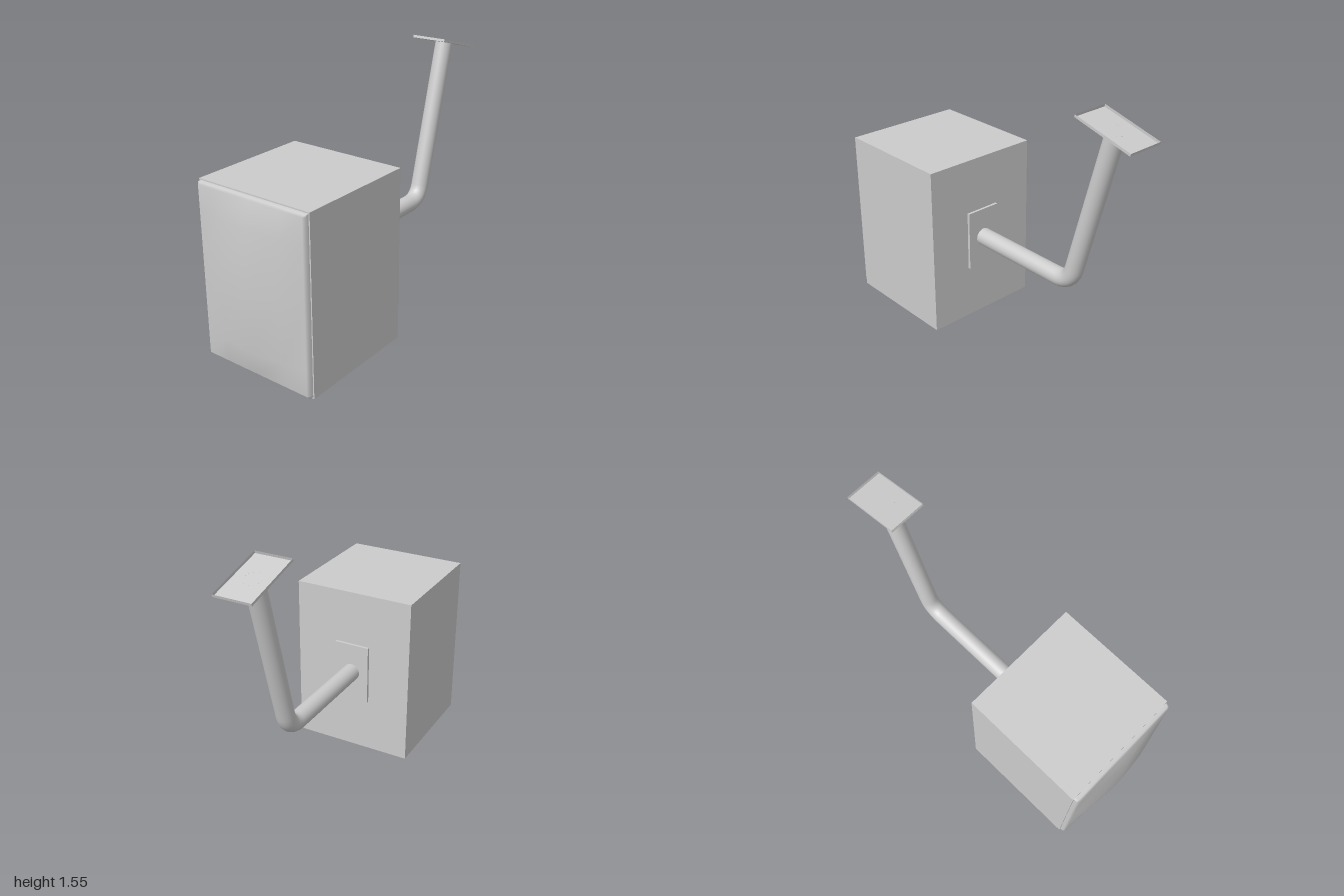
import * as THREE from 'three';

const material = new THREE.MeshStandardMaterial({ color: 0xcccccc });
const openMaterial = new THREE.MeshStandardMaterial({ color: 0xcccccc, side: THREE.DoubleSide });

function add(group, name, geometry, x, y, z, mat = material) {
  const mesh = new THREE.Mesh(geometry, mat);
  mesh.name = name;
  mesh.position.set(x, y, z);
  group.add(mesh);
  return mesh;
}

// Bulging screen: a coarse grid with a rounded rim and a shallow dome
function screenGeometry() {
  const mirror = a => [...a.map(v => -v), 0, ...a.slice().reverse()];
  const xs = mirror([0.363, 0.36, 0.348, 0.2]);
  const ys = mirror([0.51, 0.507, 0.497, 0.35]);
  const rimDepth = [0.085, 0.065, 0.054];
  const domeDepth = [0, 0, 0, 0.019, 0];
  const geo = new THREE.PlaneGeometry(1, 1, 8, 8);
  const pos = geo.attributes.position;
  for (let j = 0; j < 9; j++) {
    for (let i = 0; i < 9; i++) {
      const ri = Math.min(i, 8 - i), rj = Math.min(j, 8 - j);
      const ring = Math.min(ri, rj);
      const depth = ring < 3 ? rimDepth[ring] : domeDepth[ri] + domeDepth[rj];
      pos.setXYZ(j * 9 + i, xs[i], -ys[j], -depth);
    }
  }
  geo.computeVertexNormals();
  return geo;
}

// Thin box without its top face
function trayGeometry(w, h, d) {
  const geo = new THREE.BoxGeometry(w, h, d);
  const index = Array.from(geo.index.array);
  index.splice(12, 6);
  geo.setIndex(index);
  geo.clearGroups();
  return geo;
}

// Arm path: straight out of the back, a short bend, then up to the mount
function armPath(start, corner, end, reach) {
  const toward = p => corner.clone().add(p.clone().sub(corner).setLength(reach));
  const a = toward(start), b = toward(end);
  const path = new THREE.CurvePath();
  path.add(new THREE.LineCurve3(start, a));
  path.add(new THREE.QuadraticBezierCurve3(a, corner, b));
  path.add(new THREE.LineCurve3(b, end));
  return path;
}

export function createModel() {
  const group = new THREE.Group();
  group.name = 'wallMountedMonitor';

  // Cabinet and screen
  add(group, 'cabinet', new THREE.BoxGeometry(0.74, 1.035, 0.74), 0, 0.5175, 0.545);
  add(group, 'screen', screenGeometry(), 0, 0.5175, 1, openMaterial);

  // Mounting plate on the cabinet back
  add(group, 'backPlate', new THREE.BoxGeometry(0.22, 0.37, 0.017), 0, 0.5175, 0.167);

  // Bent tubular arm
  const path = armPath(
    new THREE.Vector3(0, 0.52, 0.17),
    new THREE.Vector3(0, 0.52, -0.56),
    new THREE.Vector3(0, 1.483, -0.818),
    0.1
  );
  add(group, 'arm', new THREE.TubeGeometry(path, 64, 0.053, 24), 0, 0, 0, openMaterial);

  // Tilted plate at the arm's end, open on its upper side
  const mount = add(group, 'mountPlate', trayGeometry(0.22, 0.015, 0.37), 0, 1.49, -0.82, openMaterial);
  mount.rotation.x = -THREE.MathUtils.degToRad(15);

  return group;
}
